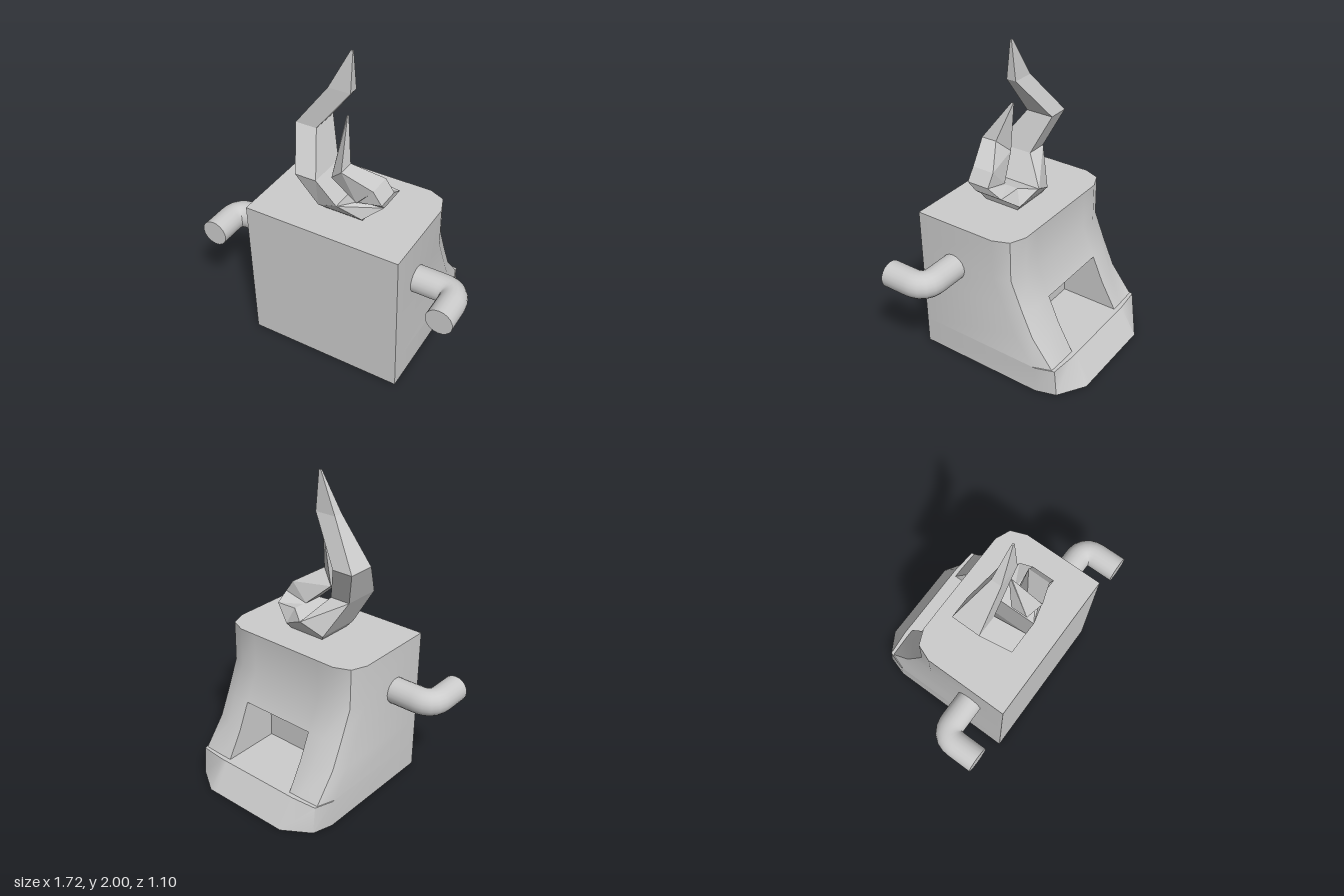
import * as THREE from 'three';
import { toCreasedNormals } from 'three/addons/utils/BufferGeometryUtils.js';

// Joins rings of [x, y, z] points into a capped skin; open(level, edge) leaves a gap.
function loft(rings, open = () => false) {
  const pos = [];
  const tri = (a, b, c) => pos.push(...a, ...b, ...c);
  const n = rings[0].length;
  for (let r = 0; r < rings.length - 1; r++) {
    for (let i = 0; i < n; i++) {
      if (open(r, i)) continue;
      const j = (i + 1) % n;
      const [a, b] = [rings[r], rings[r + 1]];
      tri(a[i], a[j], b[j]);
      tri(a[i], b[j], b[i]);
    }
  }
  const first = rings[0], last = rings[rings.length - 1];
  for (let i = 1; i < n - 1; i++) {
    tri(first[0], first[i + 1], first[i]);
    tri(last[0], last[i], last[i + 1]);
  }
  const g = new THREE.BufferGeometry();
  g.setAttribute('position', new THREE.Float32BufferAttribute(pos, 3));
  g.computeVertexNormals();
  return g;
}

// Four-sided section: outer edge (xo, yo) and inner edge (xi, yi), each with back and front z.
function section([xo, yo, xi, yi, zob, zof, zib = zob, zif = zof]) {
  return [[xo, yo, zob], [xo, yo, zof], [xi, yi, zif], [xi, yi, zib]];
}

export function createModel() {
  const group = new THREE.Group();
  const smooth = new THREE.MeshStandardMaterial({ color: 0xcccccc });
  const flat = new THREE.MeshStandardMaterial({ color: 0xcccccc, flatShading: true });
  const add = (name, geometry, material, parent = group) => {
    const mesh = new THREE.Mesh(geometry, material);
    mesh.name = name;
    parent.add(mesh);
    return mesh;
  };

  // Body: flat front and sides, chamfered back sloping out to a foot slab.
  const W = 0.51, FRONT = 0.54, HOLE = 0.255;
  const levels = [ // y, side z, corner z, back half width, back z
    [0, -0.31, -0.44, 0.3, -0.55],
    [0.18, -0.31, -0.425, 0.3, -0.44],
    [0.18, -0.29, -0.405, 0.33, -0.41],
    [0.36, -0.165, -0.265, 0.36, -0.31],
    [0.53, -0.09, -0.19, 0.37, -0.237],
    [0.72, -0.01, -0.113, 0.37, -0.155],
    [0.985, -0.01, -0.113, 0.37, -0.155],
  ];
  const bodyRings = levels.map(([y, zs, zc, xb, zb]) => {
    const half = [[W, y, FRONT], [W, y, zs], [0.47, y, zc], [xb, y, zb], [HOLE, y, zb]];
    return [...half, ...half.map(([x, h, z]) => [-x, h, z]).reverse()];
  });
  const body = loft(bodyRings, (level, edge) => edge === 4 && (level === 2 || level === 3));
  add('body', toCreasedNormals(body, 0.7), smooth);

  // Recess in the sloping back, facing inward.
  const recessProfile = [[0.18, -0.02], [0.53, -0.02], [0.53, -0.237], [0.36, -0.31], [0.18, -0.41]];
  const recessRings = [-HOLE, HOLE].map((x) => recessProfile.map(([y, z]) => [x, y, z]));
  add('recess', loft(recessRings, (r, edge) => edge === 2 || edge === 3), flat);

  // Bent round arms pointing forward.
  const R = 0.085, ARM_Y = 0.685, ARM_X = 0.775, ARM_Z = 0.29, BEND = 0.1, TIP = 0.55;
  for (const s of [1, -1]) {
    const arm = new THREE.Group();
    arm.name = s > 0 ? 'leftArm' : 'rightArm';
    const p = (x, z) => new THREE.Vector3(s * x, ARM_Y, z);
    const path = new THREE.CurvePath();
    path.add(new THREE.LineCurve3(p(0.45, ARM_Z), p(ARM_X - BEND, ARM_Z)));
    path.add(new THREE.QuadraticBezierCurve3(p(ARM_X - BEND, ARM_Z), p(ARM_X, ARM_Z), p(ARM_X, ARM_Z + BEND)));
    path.add(new THREE.LineCurve3(p(ARM_X, ARM_Z + BEND), p(ARM_X, TIP)));
    add('armTube', new THREE.TubeGeometry(path, 20, R, 20), smooth, arm);
    add('armEnd', new THREE.CircleGeometry(R, 20), smooth, arm).position.copy(p(ARM_X, TIP));
    group.add(arm);
  }

  // Flame: a gabled root with two curling tongues.
  const root = [
    [-0.1, 0.98, 0.15, 0.98, 0.07, 0.3],
    [-0.13, 1.02, 0.165, 1.02, 0.04, 0.34],
    [0.015, 1.09, 0.025, 1.09, 0, 0.38],
  ];
  const tallTongue = [
    [-0.13, 1.02, 0.02, 1.09, 0.04, 0.34, 0, 0.38],
    [-0.24, 1.24, -0.1, 1.24, 0.15, 0.4],
    [-0.33, 1.475, -0.19, 1.475, 0.05, 0.235],
    [-0.115, 1.755, 0.03, 1.755, 0.155, 0.22],
    [0.015, 2, 0.03, 2, 0.18, 0.19],
  ];
  const shortTongue = [
    [0.165, 1.02, 0.02, 1.09, 0.04, 0.34, 0, 0.38],
    [0.28, 1.11, 0.13, 1.12, 0.09, 0.28, 0.08, 0.31],
    [0.29, 1.16, 0.13, 1.12, 0.18, 0.33, 0.16, 0.32],
    [0.235, 1.24, 0.125, 1.12, 0.18, 0.33],
    [0.065, 1.35, -0.025, 1.26, 0.285, 0.39, 0.24, 0.35],
    [0.003, 1.6, -0.003, 1.6, 0.195, 0.21],
  ];
  const flame = new THREE.Group();
  flame.name = 'flame';
  add('flameRoot', loft(root.map(section)), flat, flame);
  add('tallTongue', loft(tallTongue.map(section)), flat, flame);
  add('shortTongue', loft(shortTongue.map((row) => section(row).reverse())), flat, flame);
  group.add(flame);

  return group;
}
